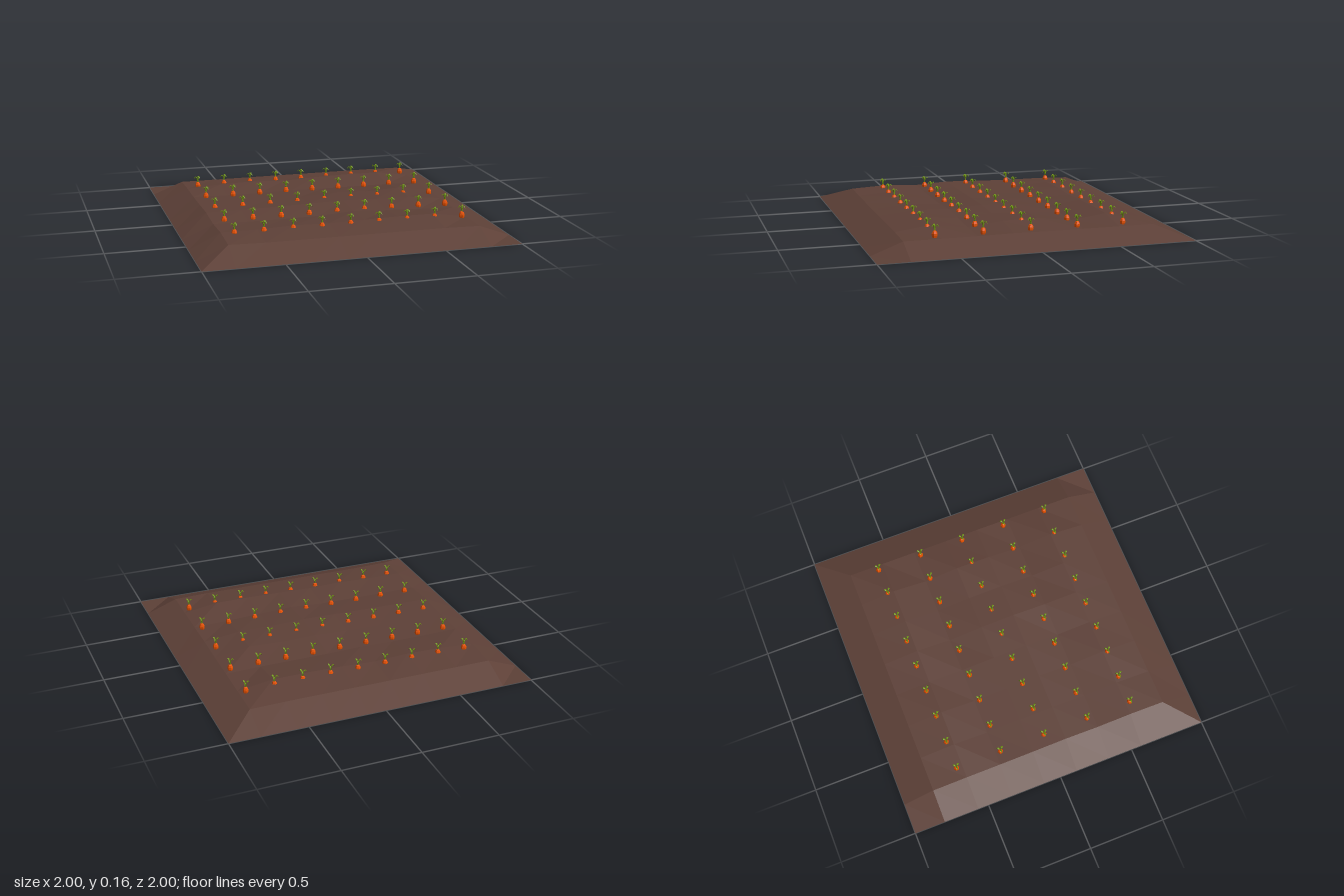
import * as THREE from 'three';

const lines = [-1, -0.8, -0.57, -0.34, -0.114, 0.114, 0.34, 0.57, 0.8, 1];

// Soil heights (in hundredths) at the inner grid points, back row first
const heights = [
  [7.8, 7.8, 7.8, 7.8, 7.8, 7.8, 7.8, 7.5],
  [8.5, 10, 10.5, 9.5, 10.5, 11, 11, 7.5],
  [8.5, 8, 8, 8.5, 8, 8, 8, 7.5],
  [9, 9, 9, 9.5, 10.5, 10, 11, 7.5],
  [9.8, 10, 10.3, 10.8, 11.2, 10.5, 10.5, 7.8],
  [8.5, 8.3, 8.3, 8.5, 10, 9, 8, 7.5],
  [9.6, 9.6, 10.5, 10, 10.5, 11, 11, 7.5],
  [8.5, 8, 8, 8, 8, 8, 8, 7.5],
];

// Open, faceted mound with sloping sides
function makeSoil() {
  const geo = new THREE.PlaneGeometry(2, 2, 9, 9).rotateX(-Math.PI / 2);
  const pos = geo.attributes.position;
  for (let i = 0; i < pos.count; i++) {
    const col = i % 10, row = Math.floor(i / 10);
    const h = heights[row - 1]?.[col - 1] ?? 0;
    pos.setXYZ(i, lines[col], h / 100, lines[row]);
  }
  geo.computeVertexNormals();
  return geo;
}

// Tapered blade that rises, then droops outward along +x
function makeLeaf() {
  const curve = new THREE.CatmullRomCurve3([
    new THREE.Vector3(0.002, 0.115, 0),
    new THREE.Vector3(0.005, 0.14, 0),
    new THREE.Vector3(0.014, 0.157, 0),
    new THREE.Vector3(0.026, 0.143, 0),
  ]);
  const widths = [0.003, 0.004, 0.006, 0.006, 0.0005];
  const geo = new THREE.CylinderGeometry(1, 1, 1, 4, 4);
  const pos = geo.attributes.position;
  for (let i = 0; i < pos.count; i++) {
    const t = pos.getY(i) + 0.5;
    const p = curve.getPoint(t), d = curve.getTangent(t);
    const w = widths[Math.round(t * 4)];
    const across = -pos.getX(i) * w * 0.5;
    pos.setXYZ(i, p.x - d.y * across, p.y + d.x * across, pos.getZ(i) * w);
  }
  geo.computeVertexNormals();
  return geo;
}

export function createModel() {
  const model = new THREE.Group();
  model.name = 'carrotPatch';
  const material = (color) => new THREE.MeshStandardMaterial({ color, flatShading: true, side: THREE.DoubleSide });
  const soilMat = material(0x5d4037);
  const rootMat = material(0xe65100);
  const leafMat = material(0x6f9412);

  const soil = new THREE.Mesh(makeSoil(), soilMat);
  soil.name = 'soilBed';
  model.add(soil);

  // Root: pointed below, widest at the soil, narrowing to the crown
  const profile = [[0, 0.055], [0.011, 0.066], [0.018, 0.088], [0.018, 0.1], [0.012, 0.114], [0, 0.121]];
  const rootGeo = new THREE.LatheGeometry(profile.map(([r, y]) => new THREE.Vector2(r, y)), 6);
  const leafGeo = makeLeaf();

  // Five rows of nine carrots
  for (let row = 0; row < 5; row++) {
    for (let col = 0; col < 9; col++) {
      const carrot = new THREE.Group();
      carrot.name = 'carrot';
      carrot.position.set(-0.72 + col * 0.185, 0, -0.61 + row * 0.302);
      const root = new THREE.Mesh(rootGeo, rootMat);
      root.name = 'carrotRoot';
      carrot.add(root);
      // Three leaves, one toward -x
      for (let k = 0; k < 3; k++) {
        const leaf = new THREE.Mesh(leafGeo, leafMat);
        leaf.name = 'carrotLeaf';
        leaf.rotation.y = Math.PI + (k * Math.PI * 2) / 3;
        carrot.add(leaf);
      }
      model.add(carrot);
    }
  }
  return model;
}
